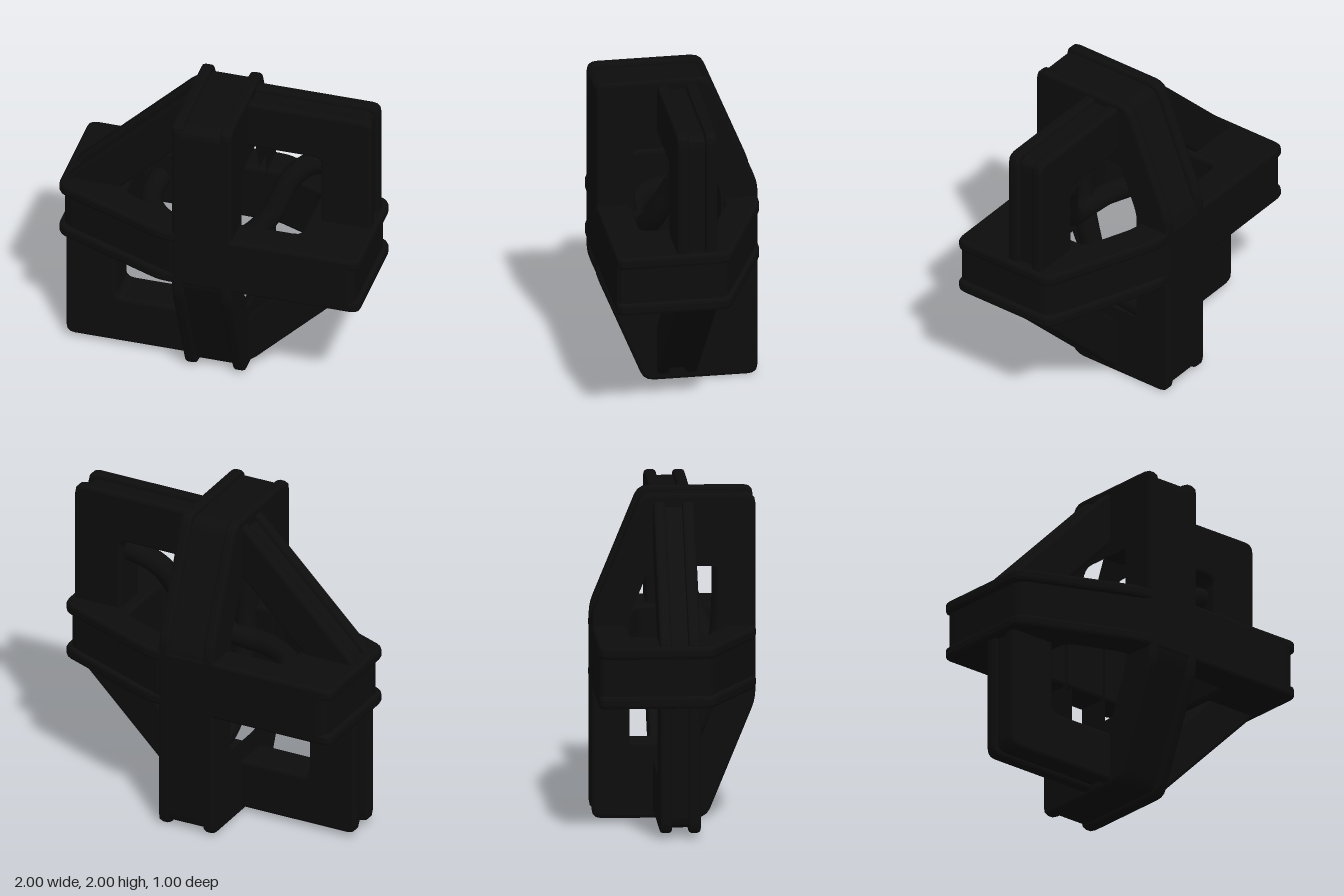
import * as THREE from 'three';

const black = new THREE.MeshStandardMaterial({ color: 0x0d0d0d });
black.name = 'black';

// Closed polygon with rounded corners of radius r
function roundPoly(path, pts, r) {
  const v = pts.map(p => new THREE.Vector2(p[0], p[1]));
  const n = v.length;
  v.forEach((p, i) => {
    const toward = q => p.clone().add(q.clone().sub(p).setLength(r));
    const a = toward(v[(i + n - 1) % n]), b = toward(v[(i + 1) % n]);
    if (i === 0) path.moveTo(a.x, a.y); else path.lineTo(a.x, a.y);
    path.quadraticCurveTo(p.x, p.y, b.x, b.y);
  });
  path.closePath();
  return path;
}

// Slab between depths lo and hi, with a hexagonal window
function slab(outline, hole, lo, hi, bevel) {
  const shape = roundPoly(new THREE.Shape(), outline, 0.06);
  shape.holes.push(roundPoly(new THREE.Path(), hole, 0.05));
  const geo = new THREE.ExtrudeGeometry(shape, {
    depth: hi - lo - 2 * bevel, curveSegments: 3, bevelEnabled: bevel > 0,
    bevelThickness: bevel, bevelSize: bevel, bevelOffset: -bevel, bevelSegments: 2,
  });
  geo.translate(0, 0, lo + bevel);
  return new THREE.Mesh(geo, black);
}

// Ring frame: two outer flanges with a recessed core between them
function frame(name, outline, core, hole, half, groove) {
  const g = new THREE.Group();
  g.name = name;
  const bevel = 0.02;
  const parts = {
    flangeA: slab(outline, hole, groove, half, bevel),
    flangeB: slab(outline, hole, -half, -groove, bevel),
    core: slab(core, hole, -groove - bevel, groove + bevel, 0),
  };
  for (const [key, mesh] of Object.entries(parts)) {
    mesh.name = key;
    g.add(mesh);
  }
  g.position.y = 1;
  return g;
}

// Point-symmetric hexagon from its first three corners
const mirror = half => [...half, ...half.map(([a, b]) => [-a, -b])];
const swap = pts => pts.map(([a, b]) => [b, a]);

function tube(name, pts, radius) {
  const curve = new THREE.CatmullRomCurve3(pts.map(p => new THREE.Vector3(...p)));
  const mesh = new THREE.Mesh(new THREE.TubeGeometry(curve, 48, radius, 12), black);
  mesh.name = name;
  return mesh;
}

export function createModel() {
  const model = new THREE.Group();
  model.name = 'interlockedFrames';

  // Thin broad frame facing the front
  model.add(frame('frontFrame',
    mirror([[0.97, 0.97], [-0.19, 0.97], [-0.97, 0.19]]),
    mirror([[0.94, 0.94], [-0.178, 0.94], [-0.94, 0.178]]),
    mirror([[0.65, 0.65], [-0.15, 0.65], [-0.65, 0.15]]), 0.125, 0.05));

  // Thick frames, one upright and one level, sharing one outline
  const outline = mirror([[-0.5, 1], [0.2, 1], [0.5, 0.27]]);
  const core = mirror([[-0.5, 0.97], [0.18, 0.97], [0.5, 0.19]]);
  const hole = mirror([[-0.29, 0.575], [0.16, 0.575], [0.29, 0.25]]);

  const upright = frame('uprightFrame', outline, core, hole, 0.19, 0.115);
  upright.rotation.y = Math.PI / 2;
  model.add(upright);

  const level = frame('levelFrame', swap(outline), swap(core), swap(hole), 0.19, 0.115);
  level.rotation.x = -Math.PI / 2;
  model.add(level);

  // Curved rods threading the windows
  model.add(tube('levelRod', [
    [-0.49, 1, -0.34], [-0.49, 1, -0.1], [-0.4, 1, 0.08], [-0.2, 1, 0.2],
    [0, 1, 0.23], [0.2, 1.04, 0.21], [0.34, 1.19, 0.15], [0.45, 1.43, 0.06],
    [0.56, 1.52, 0.01], [0.72, 1.55, 0],
  ], 0.07));
  model.add(tube('uprightRod', [
    [0, 0.41, -0.34], [0, 0.41, -0.1], [0, 0.46, 0.07], [0, 0.62, 0.18],
    [0, 0.85, 0.25], [0, 1.15, 0.3], [0, 1.35, 0.31], [0, 1.62, 0.31],
  ], 0.07));

  return model;
}
